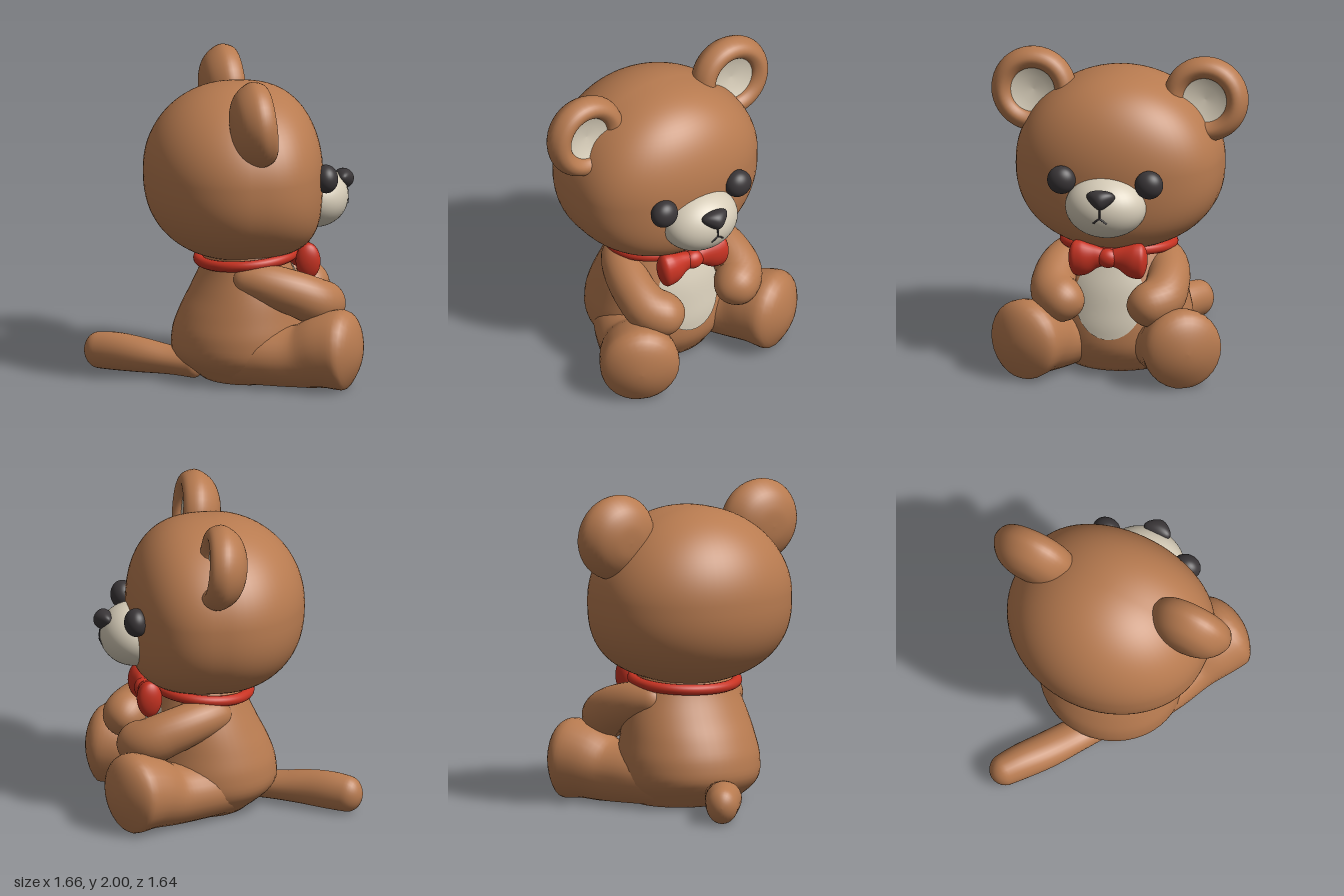
import * as THREE from 'three';
import { mergeVertices } from 'three/addons/utils/BufferGeometryUtils.js';

const V = (x, y, z) => new THREE.Vector3(x, y, z);
const mat = (name, color) => new THREE.MeshStandardMaterial({ name, color });

// Rewrite every vertex by a rule and smooth the result
function reshape(geo, rule) {
  geo.deleteAttribute('uv');
  geo.deleteAttribute('normal');
  const p = geo.attributes.position;
  for (let i = 0; i < p.count; i++) p.setXYZ(i, ...rule(p.getX(i), p.getY(i), p.getZ(i)));
  const out = mergeVertices(geo, 1e-5);
  out.computeVertexNormals();
  return out;
}

// Rounded limb through stations [x, y, z, side radius, vertical radius]; never dips below the ground
function limb(stations, startCap, endCap, rings = 40, sides = 28) {
  const path = new THREE.CatmullRomCurve3(stations.map(s => V(s[0], s[1], s[2])));
  const size = new THREE.CatmullRomCurve3(stations.map(s => V(s[3], s[4], 0)), false, 'catmullrom');
  const length = path.getLength(), pos = [], idx = [];
  const round = d => (d < 1 ? Math.sqrt(Math.max(0, 1 - (1 - d) ** 2)) : 1);
  for (let i = 0; i <= rings; i++) {
    const u = (1 - Math.cos(Math.PI * i / rings)) / 2;
    const c = path.getPointAt(u), t = path.getTangentAt(u);
    const r = size.getPoint(path.getUtoTmapping(u));
    const k = round(u * length / startCap) * round((1 - u) * length / endCap) + 1e-4;
    const side = t.clone().cross(V(0, 1, 0)).normalize(), up = side.clone().cross(t);
    for (let j = 0; j < sides; j++) {
      const a = 2 * Math.PI * j / sides;
      const q = c.clone().addScaledVector(side, Math.cos(a) * r.x * k).addScaledVector(up, Math.sin(a) * r.y * k);
      pos.push(q.x, Math.max(0, q.y), q.z);
      if (i < rings) {
        const A = i * sides + j, C = i * sides + (j + 1) % sides;
        idx.push(A, A + sides, C, A + sides, C + sides, C);
      }
    }
  }
  const g = new THREE.BufferGeometry();
  g.setAttribute('position', new THREE.Float32BufferAttribute(pos, 3));
  g.setIndex(idx);
  g.computeVertexNormals();
  return g;
}

// Torso outline at even heights: back x, front x, half width
const BODY_H = 0.84;
const outline = new THREE.CatmullRomCurve3([
  V(-0.14, 0.44, 0.32), V(-0.31, 0.52, 0.44), V(-0.325, 0.53, 0.46), V(-0.28, 0.51, 0.44),
  V(-0.21, 0.48, 0.41), V(-0.145, 0.43, 0.36), V(-0.10, 0.38, 0.30),
], false, 'catmullrom');
function torso(y) {
  const o = outline.getPoint(THREE.MathUtils.clamp(y / BODY_H, 0, 1));
  return { cx: (o.x + o.y) / 2, rx: (o.y - o.x) / 2, rz: o.z };
}

// Muzzle ellipsoid and the x of its front surface
const M = { x: 0.58, y: 1.135, rx: 0.21, ry: 0.197, rz: 0.257 };
const onMuzzle = (y, z) =>
  V(M.x + M.rx * Math.sqrt(1 - ((y - M.y) / M.ry) ** 2 - (z / M.rz) ** 2), y, z);

export function createModel() {
  const fur = mat('brownFur', 0xb87b50);
  const cream = mat('creamFur', 0xd6ccb8);
  const red = mat('redRibbon', 0xc83322);
  const dark = mat('darkFeatures', 0x3a3638);
  const model = new THREE.Group();
  const add = (name, geo, material, x = 0, y = 0, z = 0) => {
    const m = new THREE.Mesh(geo, material);
    m.name = name;
    m.position.set(x, y, z);
    model.add(m);
    return m;
  };
  const ball = (name, material, x, y, z, rx, ry, rz) =>
    add(name, new THREE.SphereGeometry(1, 40, 28), material, x, y, z).scale.set(rx, ry, rz);

  // Torso and belly patch
  add('body', reshape(new THREE.CylinderGeometry(1, 1, BODY_H, 48, 28), (x, y, z) => {
    const h = y + BODY_H / 2, b = torso(h);
    return [b.cx + b.rx * x, h, b.rz * z];
  }), fur);
  add('bellyPatch', reshape(new THREE.RingGeometry(0.001, 1, 40, 10), (u, v) => {
    const y = 0.49 + 0.255 * v, z = -0.222 * u, b = torso(y);
    return [b.cx + b.rx * Math.sqrt(1 - (z / b.rz) ** 2) + 0.008, y, z];
  }), cream);

  // Head: flattened face, broad underside and fuller chin
  add('head', reshape(new THREE.SphereGeometry(1, 64, 48), (x, y, z) => [
    0.06 + (x > 0 ? 0.555 * x ** 0.7 * (y < 0 ? 1 + 0.25 * y * y : 1) : 0.565 * x),
    1.33 + (y < 0 ? -0.57 * (-y) ** 0.8 : 0.55 * y),
    0.655 * z * (1 - 0.05 * y),
  ]), fur);
  ball('muzzle', cream, M.x, M.y, 0, M.rx, M.ry, M.rz);

  // Nose: rounded triangle, broad at the top and tapering forwards
  add('nose', reshape(new THREE.SphereGeometry(1, 32, 24), (x, y, z) => [
    0.767 + 0.062 * x, 1.236 + 0.062 * y, 0.08 * z * (1 + 0.4 * y) * (1 - 0.4 * x),
  ]), dark);

  // Mouth lines
  const line = (name, pts) => add(name, new THREE.TubeGeometry(
    new THREE.CatmullRomCurve3(pts.map(p => onMuzzle(...p))), 12, 0.006, 8), dark);
  line('mouthCentre', [[1.19, 0], [1.15, 0], [1.115, 0]]);

  // Ear profile: domed back, thick rim, sunken front
  const rim = new THREE.SplineCurve([
    [0, -0.135], [0.11, -0.125], [0.21, -0.075], [0.27, 0.02], [0.25, 0.1],
    [0.2, 0.13], [0.152, 0.105], [0.134, 0.06], [0.125, 0.02],
  ].map(p => new THREE.Vector2(...p))).getPoints(40);
  rim[0].x = 0;
  const earGeo = new THREE.LatheGeometry(rim, 40).rotateZ(-Math.PI / 2);
  const innerGeo = new THREE.LatheGeometry(
    [[0.148, 0.085], [0.08, 0.06], [0, 0.053]].map(p => new THREE.Vector2(...p)), 40).rotateZ(-Math.PI / 2);

  // Paired parts; the right side is +z
  for (const [side, s] of [['right', 1], ['left', -1]]) {
    const pair = (part, stations, a, b, material) =>
      add(side + part, limb(stations.map(([x, y, z, h, v]) => [x, y, z * s, h, v]), a, b), material);

    ball(side + 'Eye', dark, 0.602, 1.3, 0.28 * s, 0.075, 0.09, 0.09);
    line(side + 'Mouth', [[1.118, 0], [1.107, 0.018 * s], [1.085, 0.042 * s]]);
    add(side + 'Ear', earGeo, fur, 0.08, 1.725, 0.55 * s).rotation.z = 0.1;
    add(side + 'InnerEar', innerGeo, cream, 0.08, 1.725, 0.55 * s).rotation.z = 0.1;

    pair('Arm', [
      [0.02, 0.68, 0.2, 0.13, 0.11], [0.2, 0.65, 0.315, 0.135, 0.13], [0.4, 0.585, 0.36, 0.138, 0.143],
      [0.54, 0.52, 0.33, 0.148, 0.148], [0.645, 0.475, 0.155, 0.14, 0.135],
    ], 0.12, 0.15, fur);

    // Leg widening into an upright foot, turned outwards
    pair('Leg', [
      [-0.04, 0.17, 0.13, 0.22, 0.18], [0.22, 0.18, 0.275, 0.23, 0.19], [0.42, 0.19, 0.38, 0.22, 0.2],
      [0.57, 0.235, 0.46, 0.243, 0.24], [0.68, 0.25, 0.515, 0.25, 0.255], [0.775, 0.25, 0.565, 0.21, 0.23],
    ], 0.15, 0.13, fur);

    pair('BowLoop', [
      [0.5, 0.77, 0.01, 0.05, 0.05], [0.505, 0.77, 0.08, 0.055, 0.075], [0.505, 0.76, 0.16, 0.075, 0.112],
      [0.495, 0.755, 0.25, 0.08, 0.115],
    ], 0.02, 0.05, red);
  }
  ball('bowKnot', red, 0.515, 0.77, 0, 0.055, 0.062, 0.072);

  // Collar, rising towards the front
  const ring = [];
  for (let i = 0; i < 24; i++) {
    const a = 2 * Math.PI * i / 24;
    ring.push(V(0.145 + 0.3 * Math.cos(a), 0.775 + 0.028 * Math.cos(a), 0.34 * Math.sin(a)));
  }
  add('collar', new THREE.TubeGeometry(new THREE.CatmullRomCurve3(ring, true), 72, 0.034, 14, true), red);

  // Tail, trailing to one side
  add('tail', limb([
    [-0.15, 0.09, 0.08, 0.1, 0.09], [-0.32, 0.1, -0.04, 0.11, 0.09], [-0.5, 0.115, -0.16, 0.115, 0.11],
    [-0.65, 0.12, -0.275, 0.11, 0.12], [-0.81, 0.11, -0.395, 0.09, 0.11],
  ], 0.05, 0.09), fur);
  return model;
}
